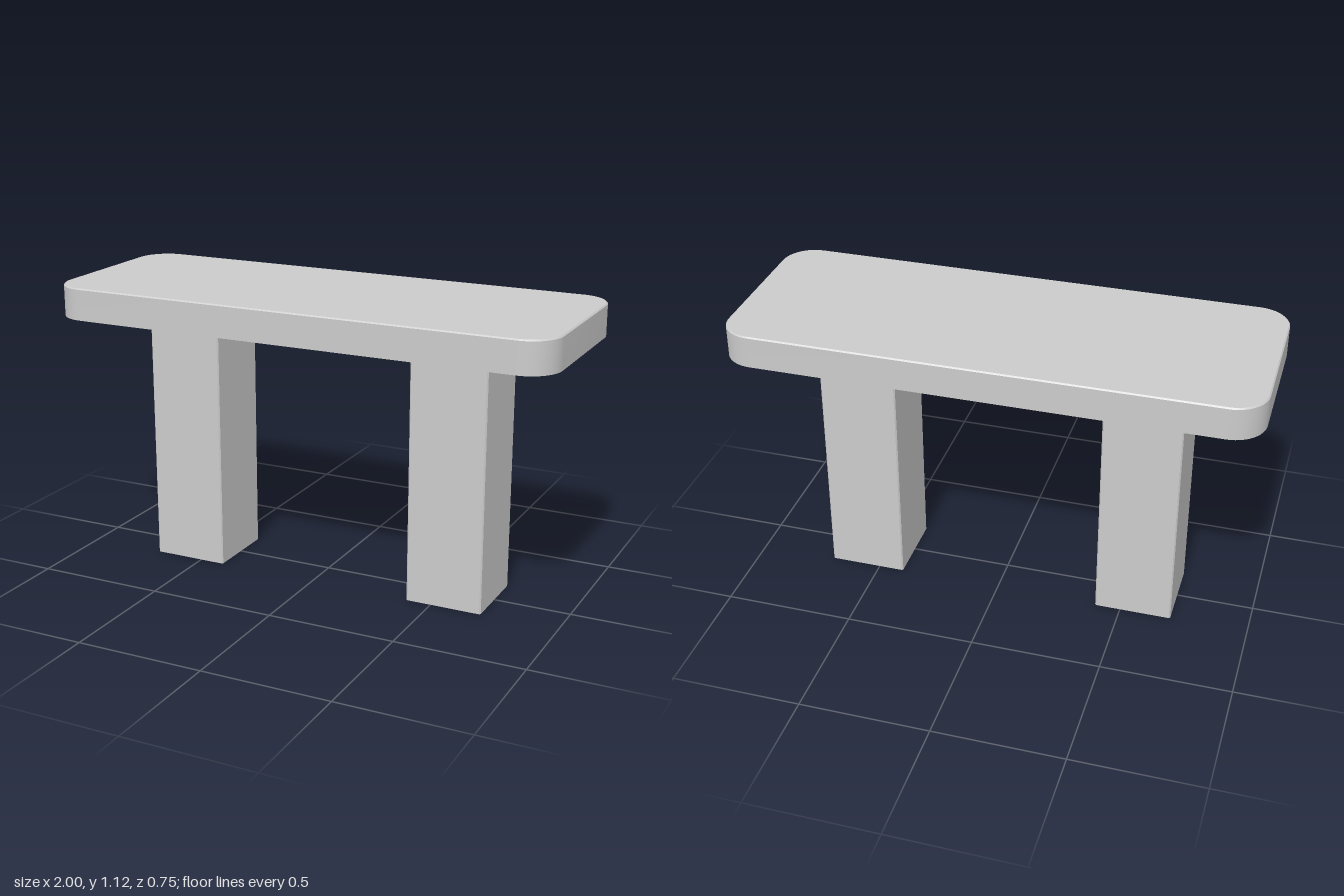
import * as THREE from 'three';
import { toCreasedNormals } from 'three/addons/utils/BufferGeometryUtils.js';

// Rounded rectangle outline in the xz plane, pulled in by an inset.
function outline(width, depth, radius, segments, inset, y) {
  const points = [];
  const corners = [[1, 1], [-1, 1], [-1, -1], [1, -1]];
  corners.forEach(([sx, sz], quarter) => {
    for (let i = 0; i <= segments; i++) {
      const a = (quarter + i / segments) * Math.PI / 2;
      const r = radius - inset;
      points.push(new THREE.Vector3(
        sx * (width / 2 - radius) + r * Math.cos(a), y,
        sz * (depth / 2 - radius) + r * Math.sin(a)));
    }
  });
  return points;
}

// Solid through stacked outlines; levels are [y, inset] from bottom to top.
function roundedPrism(width, depth, radius, segments, levels) {
  const rings = levels.map(([y, inset]) => outline(width, depth, radius, segments, inset, y));
  const first = rings[0], last = rings[rings.length - 1], n = first.length;
  const bottom = new THREE.Vector3(0, levels[0][0], 0);
  const top = new THREE.Vector3(0, levels[levels.length - 1][0], 0);
  const triangles = [];
  for (let i = 0; i < n; i++) {
    const j = (i + 1) % n;
    for (let k = 0; k < rings.length - 1; k++) {
      const a = rings[k], b = rings[k + 1];
      triangles.push(a[i], b[i], a[j], a[j], b[i], b[j]);
    }
    triangles.push(bottom, first[i], first[j], top, last[j], last[i]);
  }
  const geometry = new THREE.BufferGeometry().setFromPoints(triangles);
  return toCreasedNormals(geometry, Math.PI / 6);
}

export function createModel() {
  const model = new THREE.Group();
  model.name = 'bench';
  const material = new THREE.MeshStandardMaterial({ color: 0xcccccc });

  // Seat slab with rounded corners and a fine bevel around the top edge
  const seat = new THREE.Mesh(
    roundedPrism(2, 0.75, 0.125, 12, [[1, 0], [1.12, 0], [1.125, 0.005]]), material);
  seat.name = 'seat';
  model.add(seat);

  // Two square legs with slightly eased vertical edges
  const legGeometry = roundedPrism(0.3, 0.3, 0.005, 1, [[0, 0], [1, 0]]);
  for (const side of [1, -1]) {
    const leg = new THREE.Mesh(legGeometry, material);
    leg.name = side > 0 ? 'leftLeg' : 'rightLeg';
    leg.position.x = side * 0.55;
    model.add(leg);
  }
  return model;
}
